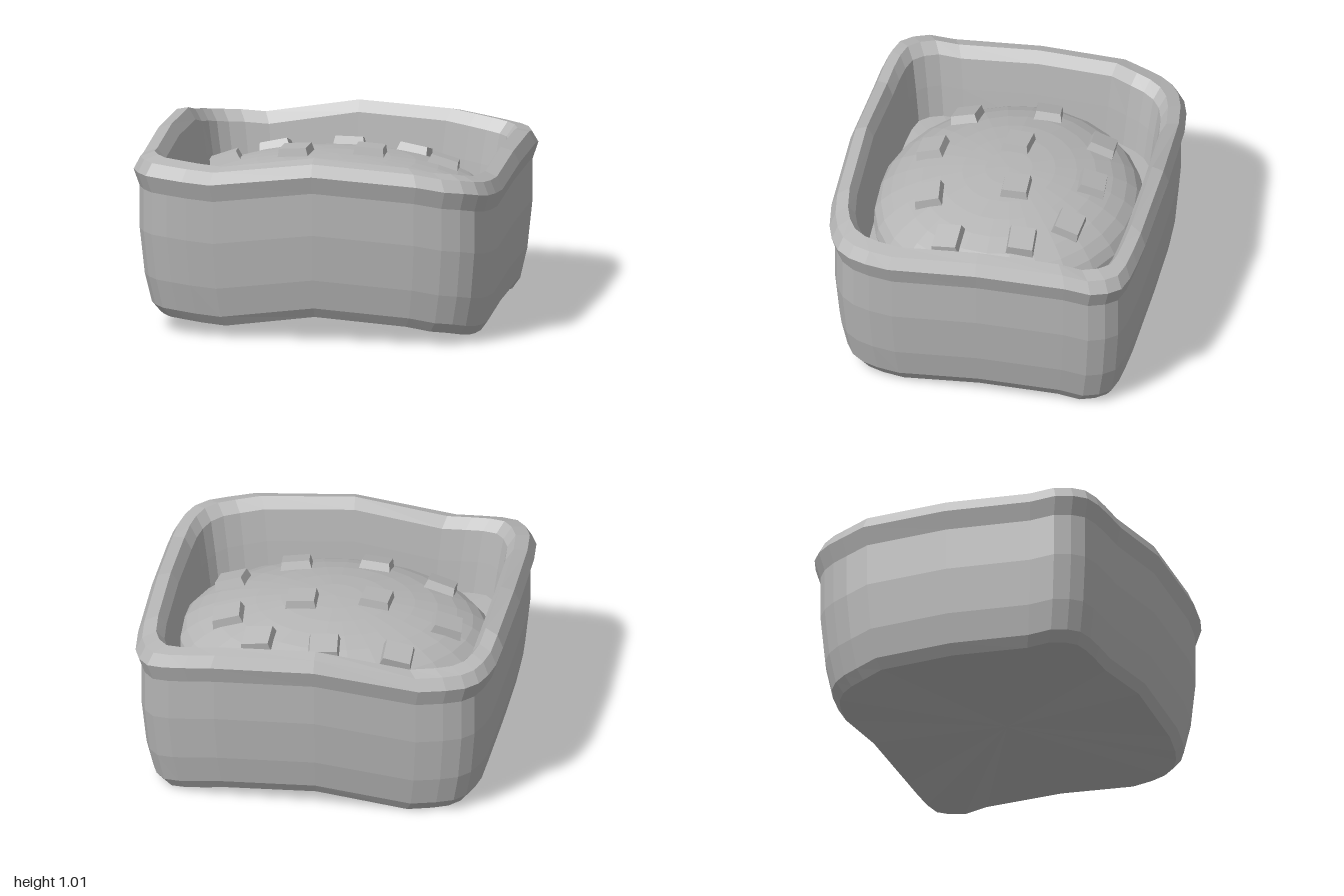
import * as THREE from 'three';

const SEG = 32;
// Rim height and outline wobble for each quadrant, from +x round through +z
const RIM = [
  .92, .89, .90, .91, .925, .94, .95, .975,
  1.01, .94, .95, .96, .965, .967, .965, .95,
  .975, .965, .93, .915, .90, .89, .885, .875,
  .955, .93, .91, .895, .885, .885, .885, .91];
const WOBBLE = [
  .985, .975, .98, .99, 1, 1, 1, 1,
  .995, .98, .985, 1, 1.02, 1.02, 1.02, 1.005,
  .99, .97, .97, .975, .985, .99, .99, .99,
  1.005, .985, .985, 1, 1.02, 1.02, 1.015, 1];

// Rounded-square ring point, scaled about the centre and dropped below the rim
function ringPoint(k, scale, drop) {
  const i = k % SEG, t = i / SEG * Math.PI * 2;
  const soft = (v) => Math.sign(v) * Math.pow(Math.abs(v) < 1e-9 ? 0 : Math.abs(v), 0.35);
  const r = scale * WOBBLE[i];
  return [soft(Math.cos(t)) * r, RIM[i] - drop, soft(Math.sin(t)) * 0.86 * r];
}

// Split corners so every facet keeps its own flat normal
function facet(geo) {
  const g = geo.index ? geo.toNonIndexed() : geo;
  g.computeVertexNormals();
  return g;
}

// Skin a list of [scale, drop] rings; an optional apex height closes the last ring
function loft(rings, apexY) {
  const pos = [], idx = [];
  rings.forEach(([s, d]) => {
    for (let k = 0; k < SEG; k++) pos.push(...ringPoint(k, s, d));
  });
  for (let j = 0; j < rings.length - 1; j++) {
    for (let k = 0; k < SEG; k++) {
      const n = (k + 1) % SEG;
      const a = j * SEG + k, b = j * SEG + n, c = a + SEG, d = b + SEG;
      idx.push(a, b, c, b, d, c);
    }
  }
  if (apexY !== undefined) {
    const base = (rings.length - 1) * SEG, apex = pos.length / 3;
    pos.push(0, apexY, 0);
    for (let k = 0; k < SEG; k++) idx.push(base + k, base + (k + 1) % SEG, apex);
  }
  const g = new THREE.BufferGeometry();
  g.setAttribute('position', new THREE.Float32BufferAttribute(pos, 3));
  g.setIndex(idx);
  return facet(g);
}

export function createModel() {
  const group = new THREE.Group();
  const clay = new THREE.MeshStandardMaterial({ color: 0xb5b5b5 });
  clay.name = 'grey clay';
  const add = (name, geo) => {
    const mesh = new THREE.Mesh(geo, clay);
    mesh.name = name;
    group.add(mesh);
    return mesh;
  };

  // Rings run from the inside over the rim and down the outside
  const OUTER = [0.97, 0.18], INNER = [0.855, 0.06];
  // Inside wall and floor
  add('innerWall', loft([[0.8, 0.42], [0.825, 0.24], INNER]));
  const floor = [];
  for (let k = 0; k < SEG; k++) {
    floor.push(0, 0.51, 0, ...ringPoint(k + 1, 0.8, 0.42), ...ringPoint(k, 0.8, 0.42));
  }
  const floorGeo = new THREE.BufferGeometry();
  floorGeo.setAttribute('position', new THREE.Float32BufferAttribute(floor, 3));
  add('floor', facet(floorGeo));
  // Rim: inner lip, sloping crest and bevelled outer edge
  add('rim', loft([INNER, [0.897, 0], [0.967, 0.02], [1.0, 0.085], OUTER]));
  // Outer wall with chamfered foot and fanned underside
  add('outerWall', loft([OUTER, [0.97, 0.41], [0.945, 0.66], [0.91, 0.82], [0.87, 0.875]], 0.06));

  // Domed filling, carried a little below its widest ring into the floor
  const RX = 0.85, RY = 0.28, RZ = 0.72, CY = 0.57;
  const dome = new THREE.SphereGeometry(1, 28, 12, 0, Math.PI * 2, 0, Math.PI * 2 / 3);
  dome.scale(RX, RY, RZ).translate(0, CY, 0);
  add('filling', facet(dome));

  // Tapered chunks scattered over the filling: x, z
  const spots = [[-.39, -.43], [0, -.45], [.36, -.39], [.55, -.17], [.17, -.07], [-.22, -.01],
    [-.61, -.1], [-.52, .32], [-.16, .44], [.26, .38], [.58, .22]];
  const chunkGeo = new THREE.BoxGeometry(0.18, 0.08, 0.16);
  const p = chunkGeo.attributes.position;
  for (let i = 0; i < p.count; i++) {
    if (p.getY(i) > 0) p.setXYZ(i, p.getX(i) * 0.82, p.getY(i), p.getZ(i) * 0.82);
  }
  const flatChunk = facet(chunkGeo);
  const up = new THREE.Vector3(0, 1, 0);
  spots.forEach(([x, z], i) => {
    const y = RY * Math.sqrt(1 - (x / RX) ** 2 - (z / RZ) ** 2);
    const normal = new THREE.Vector3(x / RX ** 2, y / RY ** 2, z / RZ ** 2).normalize();
    const chunk = add('chunk', flatChunk);
    chunk.position.set(x, CY + y, z);
    chunk.quaternion.setFromUnitVectors(up, normal);
    chunk.rotateY(Math.sin(i * 2.3) * 0.1);
  });
  return group;
}
